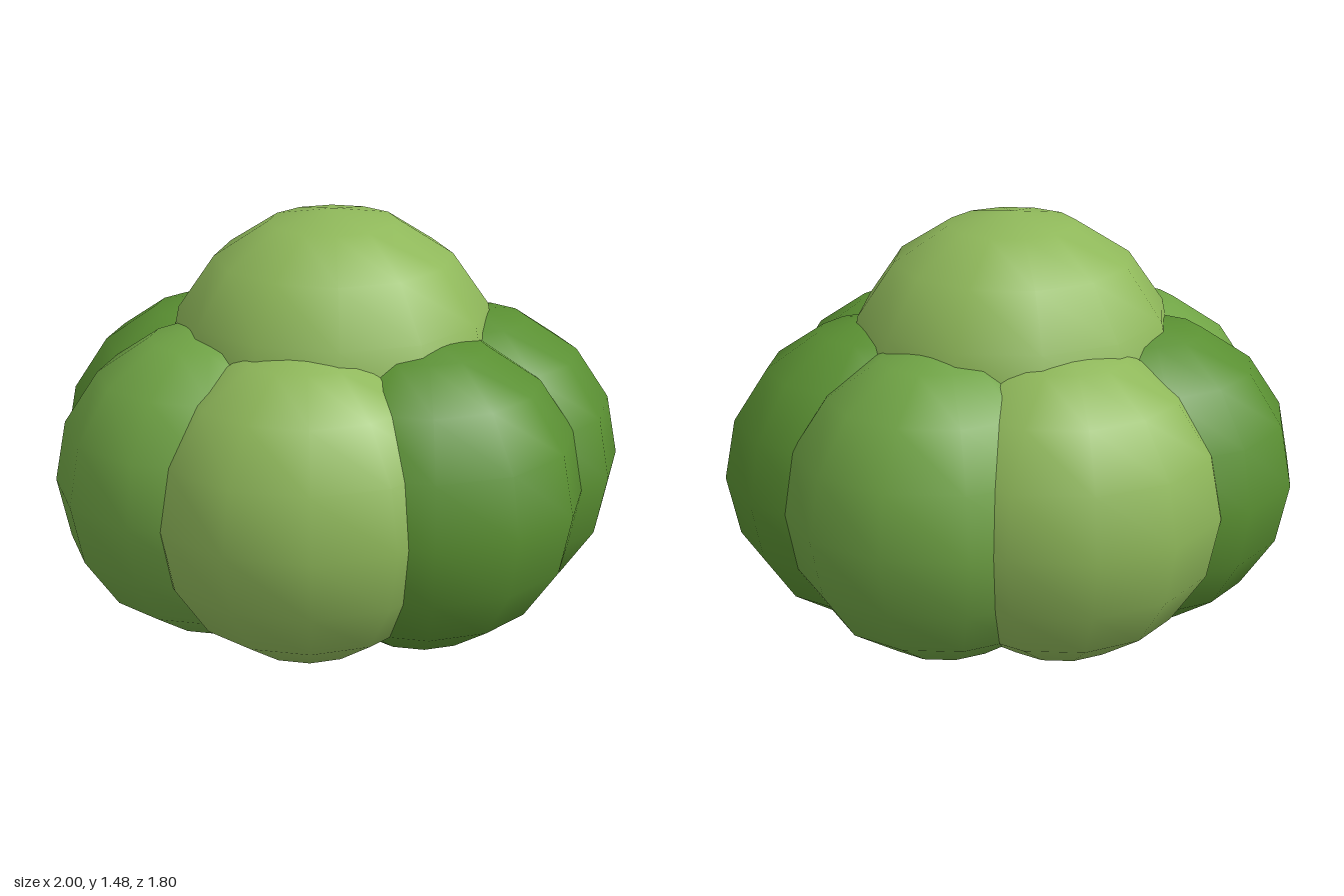
import * as THREE from 'three';

const LIGHT = 0x8fb85a, MID = 0x70a445, DARK = 0x5a9032;

export function createModel() {
  const group = new THREE.Group();
  group.name = 'bush';
  const ball = new THREE.SphereGeometry(1, 12, 8);
  const materials = new Map([LIGHT, MID, DARK].map(
    (color) => [color, new THREE.MeshStandardMaterial({ color })]));

  // One squashed ball of leaves
  function addClump(name, color, position, radii) {
    const mesh = new THREE.Mesh(ball, materials.get(color));
    mesh.name = name;
    mesh.position.set(...position);
    mesh.scale.set(...radii);
    group.add(mesh);
  }

  // Oval ring of overlapping clumps, starting at +x and turning towards the front
  const ringColors = [DARK, DARK, LIGHT, MID, DARK, LIGHT, MID];
  ringColors.forEach((color, i) => {
    const a = (i / ringColors.length) * Math.PI * 2;
    addClump(`sideClump${i + 1}`, color,
      [-0.023 + 0.468 * Math.cos(a), 0.565, 0.41 * Math.sin(a)], [0.555, 0.56, 0.5]);
  });

  // Crown clump
  addClump('topClump', LIGHT, [-0.023, 0.92, 0], [0.585, 0.56, 0.567]);

  return group;
}
